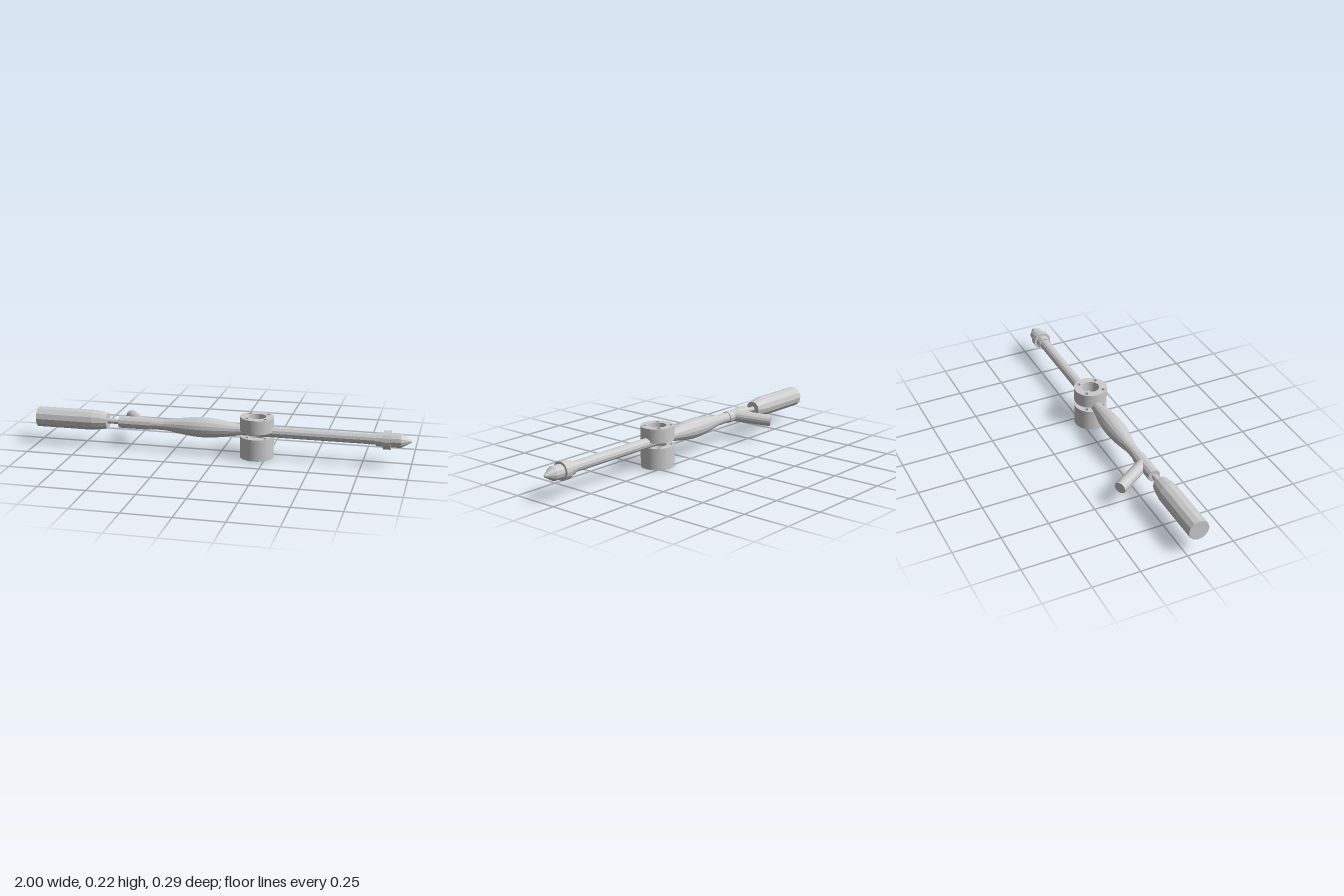
import * as THREE from 'three';

const AXIS_Y = 0.139, AXIS_Z = 0.055, CLAMP_X = 0.2;

export function createModel() {
  const model = new THREE.Group();
  const mat = new THREE.MeshStandardMaterial({ color: 0xcccccc, flatShading: true });

  const add = (name, geo, parent = model) => {
    const mesh = new THREE.Mesh(geo, mat);
    mesh.name = name;
    parent.add(mesh);
    return mesh;
  };

  // Everything turned about the long axis: profile is [x, radius] from back to tip
  const turned = (name, profile, sides = 12) => {
    const pts = [[profile[0][0], 0], ...profile, [profile[profile.length - 1][0], 0]]
      .map(([x, r]) => new THREE.Vector2(r, x));
    const geo = new THREE.LatheGeometry(pts, sides);
    geo.rotateZ(-Math.PI / 2);
    geo.translate(0, AXIS_Y, AXIS_Z);
    return add(name, geo);
  };

  turned('handle', [[-1, 0.055], [-0.69, 0.055], [-0.64, 0.048], [-0.61, 0.042]]);
  turned('handleRod', [[-0.62, 0.014], [-0.54, 0.014]]);
  turned('rearBarrel', [[-0.545, 0.033], [-0.37, 0.033]]);

  // Swelling grip that runs smoothly into the neck
  const bulge = [[-0.38, 0.029]];
  for (let i = 0; i <= 14; i++) {
    const t = i / 14;
    bulge.push([-0.3 + 0.42 * t, 0.029 + 0.024 * Math.sin(Math.PI * t) ** 1.3]);
  }
  turned('bulgedGrip', bulge, 16);

  turned('shaft', [[0.11, 0.028], [0.83, 0.028]]);
  turned('rearCollar', [[0.82, 0.036], [0.86, 0.036]]);
  turned('mainCollar', [[0.857, 0.049], [0.895, 0.049]], 16);
  turned('noseTip', [[0.89, 0.037], [0.947, 0.037], [0.998, 0.006], [1, 0.004]]);

  // Side tube angled backwards from the barrel
  const a = new THREE.Vector3(-0.434, AXIS_Y, 0.05);
  const b = new THREE.Vector3(-0.535, 0.119, -0.129);
  const tube = add('sideTube', new THREE.CylinderGeometry(0.032, 0.032, a.distanceTo(b), 16));
  tube.position.copy(a).add(b).multiplyScalar(0.5);
  tube.quaternion.setFromUnitVectors(new THREE.Vector3(0, 1, 0), b.clone().sub(a).normalize());

  // Split clamp: two drilled rings around the shaft
  const ring = new THREE.Shape().absarc(0, 0, 0.088, 0, Math.PI * 2);
  const drill = (x, y, r) => ring.holes.push(new THREE.Path().absarc(x, y, r, 0, Math.PI * 2, true));
  drill(0, 0, 0.047);
  for (let i = 0; i < 4; i++) {
    const angle = Math.PI / 4 + i * Math.PI / 2;
    drill(0.068 * Math.cos(angle), 0.068 * Math.sin(angle), 0.011);
  }
  const clamp = new THREE.Group();
  clamp.name = 'clamp';
  clamp.position.set(CLAMP_X, 0, AXIS_Z);
  model.add(clamp);
  for (const [name, y0, y1] of [['lowerClampRing', 0, 0.115], ['upperClampRing', 0.143, 0.218]]) {
    const geo = new THREE.ExtrudeGeometry(ring, { depth: y1 - y0, bevelEnabled: false, curveSegments: 32 });
    geo.rotateX(-Math.PI / 2);
    add(name, geo, clamp).position.y = y0;
  }

  return model;
}
